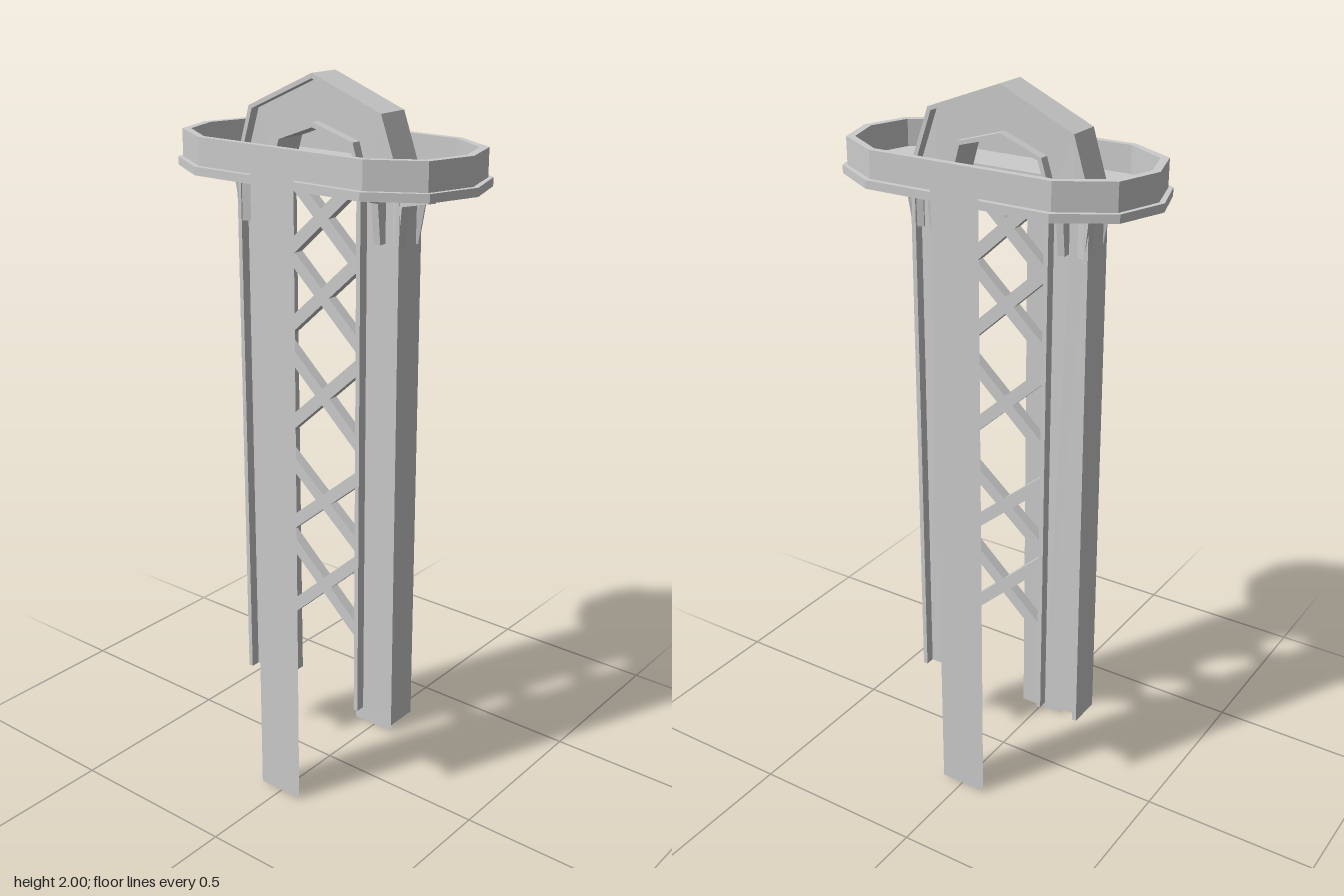
import * as THREE from 'three';

const mat = new THREE.MeshStandardMaterial({ color: 0xcccccc, flatShading: true });
const thin = new THREE.MeshStandardMaterial({ color: 0xcccccc, flatShading: true, side: THREE.DoubleSide });

const V = (x, y) => new THREE.Vector2(x, y);

function add(parent, name, geo, material = mat) {
  const m = new THREE.Mesh(geo, material);
  m.name = name;
  parent.add(m);
  return m;
}

// Flat extrusion centred on z = 0
function slab(points, depth, hole) {
  const shape = new THREE.Shape(points);
  if (hole) shape.holes.push(new THREE.Path(hole));
  const geo = new THREE.ExtrudeGeometry(shape, { depth, bevelEnabled: false });
  return geo.translate(0, 0, -depth / 2);
}

// Slight backward-to-forward lean of the whole frame
const leanZ = (y) => -0.005 + 0.015 * Math.min(1, (y - 0.23) / 1.5);
function lean(geo) {
  const p = geo.attributes.position;
  for (let i = 0; i < p.count; i++) p.setZ(i, p.getZ(i) + leanZ(p.getY(i)));
  geo.computeVertexNormals();
  return geo;
}

// Elongated ten-sided ring from its quarter points
function ring(quarter) {
  const [[a], [bx, bz], [cx, cz]] = quarter;
  return [V(a, 0), V(bx, bz), V(cx, cz), V(-cx, cz), V(-bx, bz),
    V(-a, 0), V(-bx, -bz), V(-cx, -cz), V(cx, -cz), V(bx, -bz)];
}

export function createModel() {
  const tower = new THREE.Group();
  tower.name = 'tower';

  // Arched I-beam frame: two posts joined over the top
  const outer = [[-0.28, 0.23], [-0.268, 1.76], [-0.222, 1.905], [-0.012, 2.0],
    [0.203, 1.92], [0.262, 1.76], [0.255, 0.23]].map((p) => V(...p));
  const inner = [[-0.147, 0.23], [-0.143, 1.76], [-0.122, 1.828], [-0.012, 1.868],
    [0.108, 1.835], [0.13, 1.76], [0.122, 0.23]].map((p) => V(...p));
  const frame = new THREE.Group();
  frame.name = 'frame';
  tower.add(frame);
  const band = (name, t0, t1, depth) => {
    const at = (t) => outer.map((o, i) => o.clone().lerp(inner[i], t));
    add(frame, name, lean(slab([...at(t0), ...at(t1).reverse()], depth)));
  };
  band('outerFlange', 0, 0.1, 0.094);
  band('web', 0.1, 0.9, 0.04);
  band('innerFlange', 0.9, 1, 0.094);

  // Crossed braces between the posts
  const braces = new THREE.Group();
  braces.name = 'crossBraces';
  tower.add(braces);
  for (const [y0, y1] of [[0.45, 0.7], [0.72, 0.95], [1.02, 1.27], [1.3, 1.55], [1.51, 1.76]]) {
    for (const s of [1, -1]) {
      const dx = 0.272, dy = y1 - y0;
      const geo = new THREE.BoxGeometry(Math.hypot(dx, dy), 0.034, 0.03);
      geo.rotateZ(s * Math.atan2(dy, dx));
      const y = (y0 + y1) / 2;
      geo.translate(-0.011, y, leanZ(y));
      add(braces, 'brace', geo);
    }
  }

  // Platform floor with a slot for the frame, and its raised rim
  const platform = new THREE.Group();
  platform.name = 'platform';
  tower.add(platform);
  const flat = (name, quarter, hole, y, h) => {
    const geo = slab(ring(quarter), h, ring(hole));
    geo.rotateX(-Math.PI / 2).translate(0, y + h / 2, 0);
    add(platform, name, geo);
  };
  flat('floor', [[0.45], [0.405, 0.135], [0.265, 0.22]],
    [[0.284], [0.276, 0.038], [0.225, 0.061]], 1.743, 0.022);
  flat('rim', [[0.435], [0.395, 0.127], [0.262, 0.205]],
    [[0.413], [0.377, 0.112], [0.26, 0.186]], 1.765, 0.073);

  // Brackets under the platform: one on each face and outer corner of a post
  const profile = [V(-0.025, 1.6), V(0, 1.6), V(0.014, 1.705), V(0.13, 1.737),
    V(0.13, 1.746), V(-0.025, 1.746)];
  const brackets = new THREE.Group();
  brackets.name = 'brackets';
  tower.add(brackets);
  const bracket = (x, z, angle, reach) => {
    const geo = slab(profile, 0.02);
    geo.scale(reach, 1, 1).rotateY(-angle).translate(x, 0, z);
    add(brackets, 'bracket', geo);
  };
  for (const sx of [1, -1]) {
    for (const sz of [1, -1]) {
      bracket(sx * 0.193, 0.008 + sz * 0.045, sz * Math.PI / 2, 0.85);
      bracket(sx * 0.262, 0.008 + sz * 0.036, Math.atan2(sz * 0.5, sx), 1.15);
    }
  }

  // Long hanging strips on the front and back of the platform
  for (const s of [1, -1]) {
    const geo = new THREE.PlaneGeometry(0.139, 1.8);
    geo.translate(-0.003, 0.9, s * 0.222);
    add(tower, s > 0 ? 'frontBanner' : 'backBanner', geo, thin);
  }

  return tower;
}
